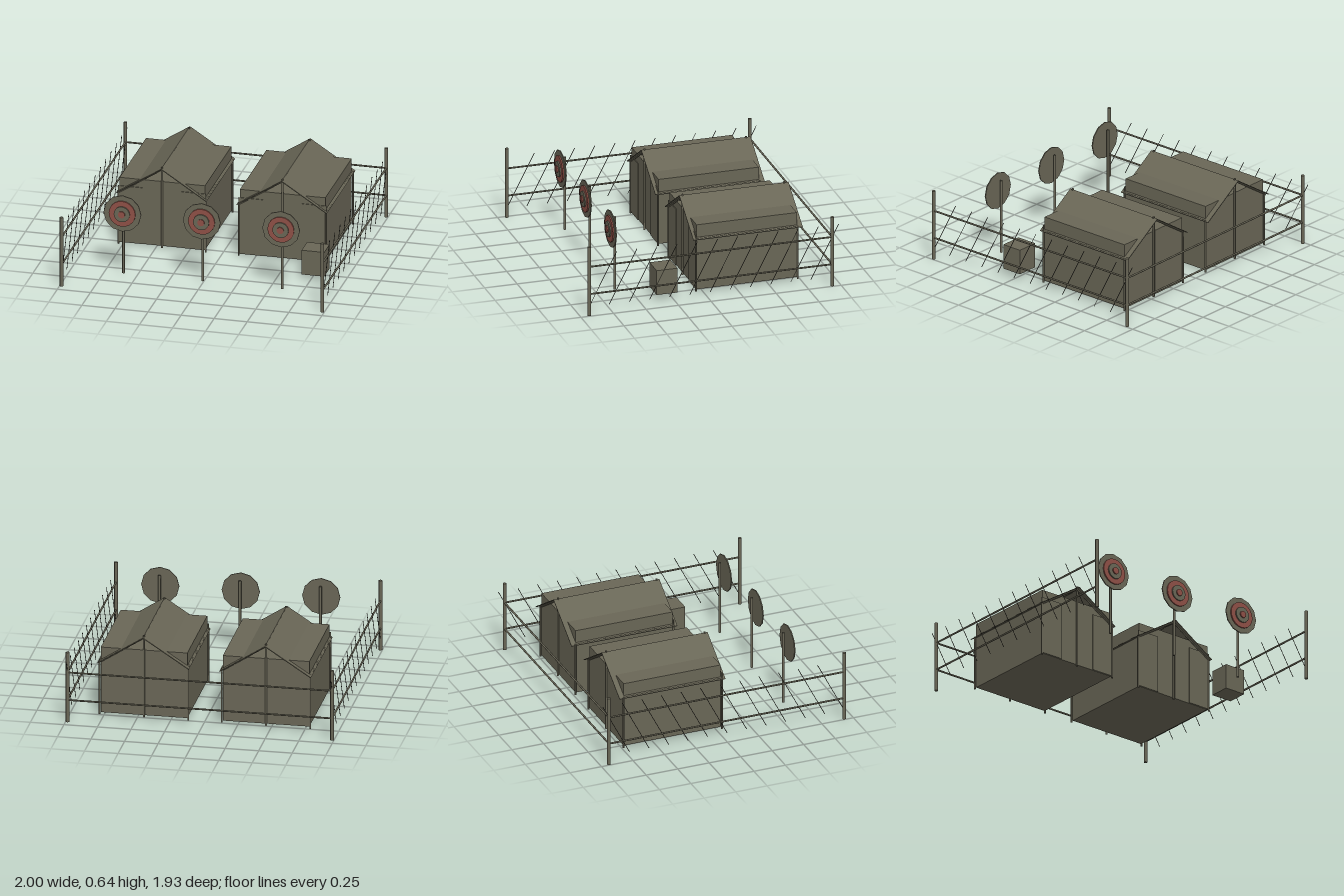
import * as THREE from 'three';

const mat = (name, color) => {
  const m = new THREE.MeshStandardMaterial({ color });
  m.name = name;
  return m;
};

export function createModel() {
  const drab = mat('olive drab', 0x696656);
  const red = mat('faded red', 0x8e5046);
  const wireDark = mat('dark wire', 0x38362f);
  const root = new THREE.Group();
  root.name = 'trainingCamp';

  const add = (parent, name, geo, m, x, y, z) => {
    const mesh = new THREE.Mesh(geo, m);
    mesh.name = name;
    mesh.position.set(x, y, z);
    parent.add(mesh);
    return mesh;
  };
  const box = (parent, name, w, h, d, x, y, z, m = drab) =>
    add(parent, name, new THREE.BoxGeometry(w, h, d), m, x, y, z);

  // Round bar between two points
  const bar = (parent, name, a, b, r, m = drab, sides = 8) => {
    const p = new THREE.Vector3(...a), q = new THREE.Vector3(...b);
    const dir = q.clone().sub(p);
    const mid = p.clone().add(q).multiplyScalar(0.5);
    const mesh = add(parent, name, new THREE.CylinderGeometry(r, r, dir.length(), sides), m, mid.x, mid.y, mid.z);
    mesh.quaternion.setFromUnitVectors(new THREE.Vector3(0, 1, 0), dir.normalize());
    return mesh;
  };

  // Two tents: canvas body, open-gabled pitched roof, pole frame, door flaps
  const zFront = 0.046, zBack = -0.735, zMid = -0.345;
  const ridgeY = 0.63, eaveY = 0.41, halfRoof = 0.34, halfFrame = 0.33;
  for (const cx of [-0.455, 0.455]) {
    const tent = new THREE.Group();
    tent.name = cx < 0 ? 'rightTent' : 'leftTent';
    tent.position.x = cx;
    root.add(tent);

    box(tent, 'tentBody', 0.645, 0.51, 0.77, 0, 0.268, zMid);

    const slope = Math.atan2(ridgeY - eaveY, halfRoof);
    const len = Math.hypot(ridgeY - eaveY, halfRoof);
    for (const s of [-1, 1]) {
      const panel = box(tent, 'roofPanel', len, 0.006, 0.84, s * halfRoof / 2, (ridgeY + eaveY) / 2, -0.35);
      panel.rotation.z = -s * slope;
      box(tent, 'doorFlap', 0.185, 0.445, 0.006, s * 0.24, 0.2375, 0.045);
      bar(tent, 'eavePole', [s * halfFrame, 0.415, zFront], [s * halfFrame, 0.415, zBack], 0.006);
      for (const z of [zFront, zBack]) {
        bar(tent, 'cornerPole', [s * halfFrame, 0, z], [s * halfFrame, 0.42, z], 0.007);
        bar(tent, 'rafter', [0, 0.62, z], [s * halfFrame, 0.408, z], 0.006);
      }
    }
    bar(tent, 'ridgePole', [0, 0.62, zFront], [0, 0.62, zBack], 0.006);
    for (const z of [zFront, zBack]) bar(tent, 'centerPole', [0, 0, z], [0, 0.64, z], 0.008);
  }

  // Three stepped round targets on posts
  const rings = [[0.142, 0.645, 0.008, drab], [0.1, 0.654, 0.01, red], [0.06, 0.664, 0.01, drab], [0.026, 0.673, 0.01, red]];
  for (const x of [-0.6, 0, 0.6]) {
    const target = new THREE.Group();
    target.name = 'target';
    root.add(target);
    bar(target, 'targetPost', [x, 0.015, 0.612], [x, 0.59, 0.612], 0.01);
    rings.forEach(([r, z, t, m], i) => {
      const disc = add(target, 'targetRing' + (i + 1), new THREE.CylinderGeometry(r, r, t, i ? 20 : 12), m, x, 0.5, z);
      disc.rotation.x = Math.PI / 2;
    });
  }

  // Supply crate
  box(root, 'crate', 0.17, 0.192, 0.16, 0.77, 0.136, 0.292);

  // Fence: corner posts, rails on three sides, slanted wires on both flanks
  const fx = 0.986, fzF = 0.932, fzB = -0.935;
  for (const s of [-1, 1]) {
    for (const z of [fzF, fzB]) bar(root, 'fencePost', [s * fx, 0, z], [s * fx, 0.545, z], 0.0135);
    for (const y of [0.17, 0.386]) bar(root, 'sideRail', [s * fx, y, fzF], [s * fx, y, fzB], 0.007);
    for (let i = 0; i < 12; i++) {
      const z = 0.827 - i * 0.155;
      bar(root, 'fenceWire', [s * fx, 0.07, z + 0.106], [s * fx, 0.482, z - 0.106], 0.0025, wireDark, 5);
    }
  }
  for (const y of [0.17, 0.386]) bar(root, 'backRail', [-fx, y, fzB], [fx, y, fzB], 0.007);

  return root;
}
